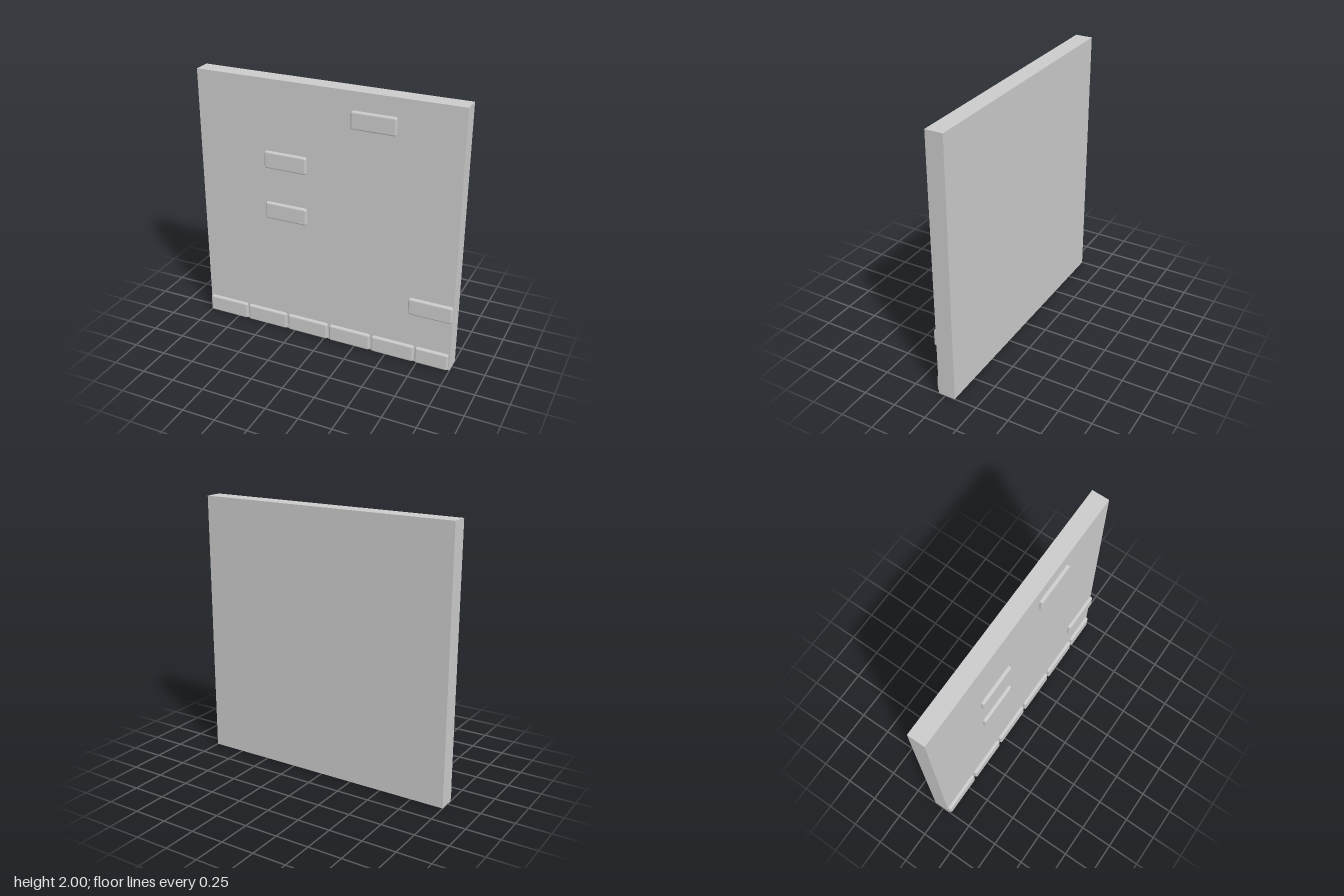
import * as THREE from 'three';
import { RoundedBoxGeometry } from 'three/addons/geometries/RoundedBoxGeometry.js';

export function createModel() {
  const model = new THREE.Group();
  model.name = 'brickWall';
  const material = new THREE.MeshStandardMaterial({ color: 0xcccccc });

  // Plain wall slab
  const slab = new THREE.Mesh(new THREE.BoxGeometry(2, 2, 0.13), material);
  slab.name = 'wallSlab';
  slab.position.set(0, 1, -0.012);
  model.add(slab);

  // Raised bricks with softened edges, half sunk into the slab
  const depth = 0.05;
  const frontZ = 0.077;
  function addBrick(name, x, y, width = 0.332) {
    const brick = new THREE.Mesh(new RoundedBoxGeometry(width, 0.132, depth, 1, 0.015), material);
    brick.name = name;
    brick.position.set(x, y, frontZ - depth / 2);
    model.add(brick);
  }

  // Bottom course, ending in a shorter brick
  for (let i = 0; i < 5; i++) addBrick('baseBrick' + (i + 1), -0.831 + i * 0.347, 0.069);
  addBrick('baseBrickShort', 0.861, 0.069, 0.254);

  // Scattered bricks
  const scattered = [[0.366, 1.8], [-0.302, 1.401], [-0.302, 1.001], [0.831, 0.468]];
  scattered.forEach(([x, y], i) => addBrick('wallBrick' + (i + 1), x, y));

  return model;
}
